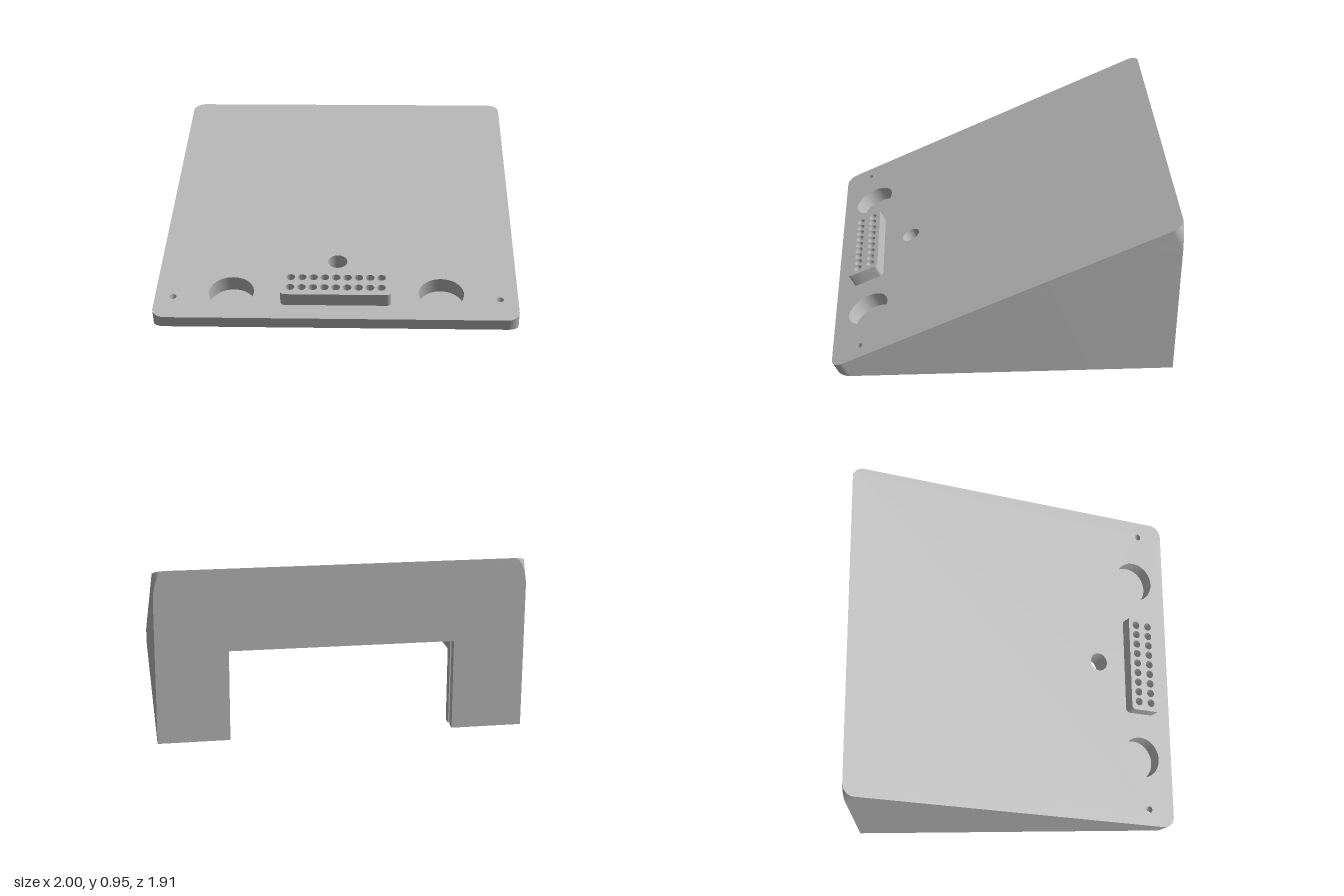
import * as THREE from 'three';
import { toCreasedNormals } from 'three/addons/utils/BufferGeometryUtils.js';

const Z = 0.953, Y0 = 0.06, RISE = 0.89, R = 0.07;
const L = Math.hypot(RISE, 2 * Z), sn = RISE / L, cs = (2 * Z) / L;
const slopeY = (z) => Y0 + ((Z - z) * sn) / cs;

// Frame of the sloping face: x across, y up the slope, z outward
const slopeFrame = new THREE.Matrix4().makeBasis(
  new THREE.Vector3(1, 0, 0), new THREE.Vector3(0, sn, -cs), new THREE.Vector3(0, cs, sn)
).setPosition(0, Y0, Z);

const circle = (x, y, r) => new THREE.Shape().absarc(x, y, r, 0, Math.PI * 2, false);
const polygon = (pts) => new THREE.Shape(pts.map(([x, y]) => new THREE.Vector2(x, y)));
const rect = (x0, y0, x1, y1) => polygon([[x0, y0], [x1, y0], [x1, y1], [x0, y1]]);

function roundedRect(w, y0, y1, r, yStart) {
  const s = new THREE.Shape();
  s.moveTo(-w, yStart);
  s.lineTo(-w, y0 + r);
  s.absarc(-w + r, y0 + r, r, Math.PI, Math.PI * 1.5, false);
  s.absarc(w - r, y0 + r, r, Math.PI * 1.5, Math.PI * 2, false);
  s.lineTo(w, yStart);
  s.absarc(w - r, y1 - r, r, 0, Math.PI / 2, false);
  s.absarc(-w + r, y1 - r, r, Math.PI / 2, Math.PI, false);
  s.closePath();
  return s;
}

function extrude(shape, from, to, holes = []) {
  shape.holes = holes;
  const g = new THREE.ExtrudeGeometry(shape, { depth: to - from, bevelEnabled: false, curveSegments: 24 });
  return g.translate(0, 0, from);
}

// Move each vertex by a rule
function warp(g, rule) {
  const p = g.attributes.position, v = new THREE.Vector3();
  for (let i = 0; i < p.count; i++) {
    rule(v.fromBufferAttribute(p, i));
    p.setXYZ(i, v.x, v.y, v.z);
  }
  return g;
}

export function createModel() {
  const model = new THREE.Group();
  model.name = 'slopedEnclosure';
  const grey = new THREE.MeshStandardMaterial({ color: 0xb8b8b8 });
  grey.name = 'grey';
  const add = (name, g) => {
    const flat = g.index ? g.toNonIndexed() : g;
    const m = new THREE.Mesh(toCreasedNormals(flat, 0.6), grey);
    m.name = name;
    model.add(m);
  };

  const sCorner = L * cs * cs - Y0 * sn;
  const outline = () => roundedRect(1, 0, L, R, sCorner);

  // Openings in the sloping plate
  const screwS = 0.169, cupS = 0.213, buttonS = 0.483;
  const screws = () => [-0.9, 0.9].map((x) => circle(x, screwS, 0.02));
  const cups = () => [-0.58, 0.58].map((x) => circle(x, cupS, 0.125));
  const button = () => circle(0, buttonS, 0.055);
  const pins = () => {
    const list = [];
    for (const s of [0.171, 0.254])
      for (let i = -4; i <= 4; i++) list.push(circle(i * 0.0625, s, 0.024));
    return list;
  };

  // Sloping plate: two layers, cut at the back plane, screw holes kept vertical
  const plateLayer = (from, to, holes) => {
    const g = warp(extrude(outline(), from, to, holes), (v) => {
      if (Math.abs(Math.abs(v.x) - 0.9) < 0.025 && Math.abs(v.y - screwS) < 0.025) v.y += (v.z * sn) / cs;
    });
    return warp(g.applyMatrix4(slopeFrame), (v) => { v.z = Math.max(v.z, -Z); });
  };
  add('topPlate', plateLayer(-0.03, 0, [...screws(), ...cups(), button(), ...pins()]));
  add('topPlateUnderside', plateLayer(-0.06, -0.03,
    [...screws(), ...cups(), button(), rect(-0.36, 0.08, 0.36, 0.33)]));

  // Raised pin block
  add('pinBlock', extrude(roundedRect(0.303, 0.11, 0.303, 0.025, 0.2), 0, 0.077, pins()).applyMatrix4(slopeFrame));

  // Blind round pockets
  for (const x of [-0.58, 0.58]) {
    add('pocketWall', extrude(circle(x, cupS, 0.135), -0.09, -0.06, [circle(x, cupS, 0.125)]).applyMatrix4(slopeFrame));
    add('pocketFloor', extrude(circle(x, cupS, 0.135), -0.1, -0.09).applyMatrix4(slopeFrame));
  }

  // Boss behind the centre hole
  add('holeBoss', extrude(rect(-0.12, 0.36, 0.12, 0.6), -0.14, -0.06, [button()]).applyMatrix4(slopeFrame));

  // Outer skin, dropped square to the slope until it meets the floor or back plane
  const pts = outline().getPoints(12);
  if (pts[0].distanceTo(pts[pts.length - 1]) < 1e-6) pts.pop();
  const ruled = pts.map((p) => {
    const top = new THREE.Vector3(p.x, p.y, 0).applyMatrix4(slopeFrame);
    const t = Math.max(0, Math.min(top.y / cs, (top.z + Z) / sn));
    return { top, t, low: new THREE.Vector3(top.x, top.y - t * cs, top.z - t * sn) };
  });
  const skin = [];
  ruled.forEach((a, i) => {
    const b = ruled[(i + 1) % ruled.length];
    if (a.t > 1e-6) skin.push(a.top, a.low, b.low);
    if (b.t > 1e-6) skin.push(a.top, b.low, b.top);
  });
  add('outerWalls', new THREE.BufferGeometry().setFromPoints(skin));

  // Bottom rim
  const inX = 0.94, inBack = -0.823, inFront = 0.87, notch = 0.61;
  const foot = ruled.filter((r) => r.low.y < 1e-5).map((r) => [r.low.x, r.low.z]);
  const rim = polygon([...foot, [notch, -Z], [notch, inBack], [inX, inBack], [inX, inFront],
    [-inX, inFront], [-inX, inBack], [-notch, inBack], [-notch, -Z]]);
  add('bottomRim', new THREE.ShapeGeometry(rim).rotateX(Math.PI / 2));

  // Back wall in three layers, the middle one set back as a panel groove
  const backLayer = (z0, z1, nx, ny) => {
    const s = new THREE.Shape();
    s.moveTo(nx, 0);
    s.lineTo(1, 0);
    s.lineTo(1, 0.95 - R / sn);
    s.absellipse(1 - R, 0.95 - R / sn, R, R / sn, 0, Math.PI / 2, false);
    s.absellipse(-1 + R, 0.95 - R / sn, R, R / sn, Math.PI / 2, Math.PI, false);
    s.lineTo(-1, 0);
    s.lineTo(-nx, 0);
    s.lineTo(-nx, ny);
    s.lineTo(nx, ny);
    return warp(extrude(s, z0, z1), (v) => {
      if (v.z > -Z + 0.001) v.y = Math.min(v.y, slopeY(v.z) - 0.003);
    });
  };
  add('backWall', backLayer(-Z, -0.905, notch, 0.5));
  add('backGroove', backLayer(-0.905, -0.873, notch + 0.03, 0.53));
  add('backWallInner', backLayer(-0.873, inBack, notch, 0.5));

  // Inner faces of the side and front walls
  const side = [[0.84, 0], [0.84, slopeY(0.84) - 0.03], [-0.83, slopeY(-0.83) - 0.03], [-0.83, 0]];
  for (const x of [-inX, 0.998])
    add('sideWall', extrude(polygon(side), 0, 0.058).rotateY(-Math.PI / 2).translate(x, 0, 0));
  const front = [[0.922, 0.001], [inFront, 0.001], [inFront, 0.07], [0.93, 0.06]];
  add('frontWall', extrude(polygon(front), 0, 1.88).rotateY(-Math.PI / 2).translate(0.94, 0, 0));

  // Screw posts in the four corners
  const post = (x, z, d, h) => {
    const g = extrude(rect(x - 0.05, z - d, x + 0.05, z + d), -h, 0, [circle(x, z, 0.02)]);
    return warp(g.rotateX(Math.PI / 2), (v) => { v.y = Math.min(v.y, slopeY(v.z) - 0.04); });
  };
  for (const x of [-0.9, 0.9]) {
    add('frontPost', post(x, 0.8, 0.07, 0.2));
    add('rearPost', post(x, -0.63, 0.06, 0.14));
  }
  return model;
}
